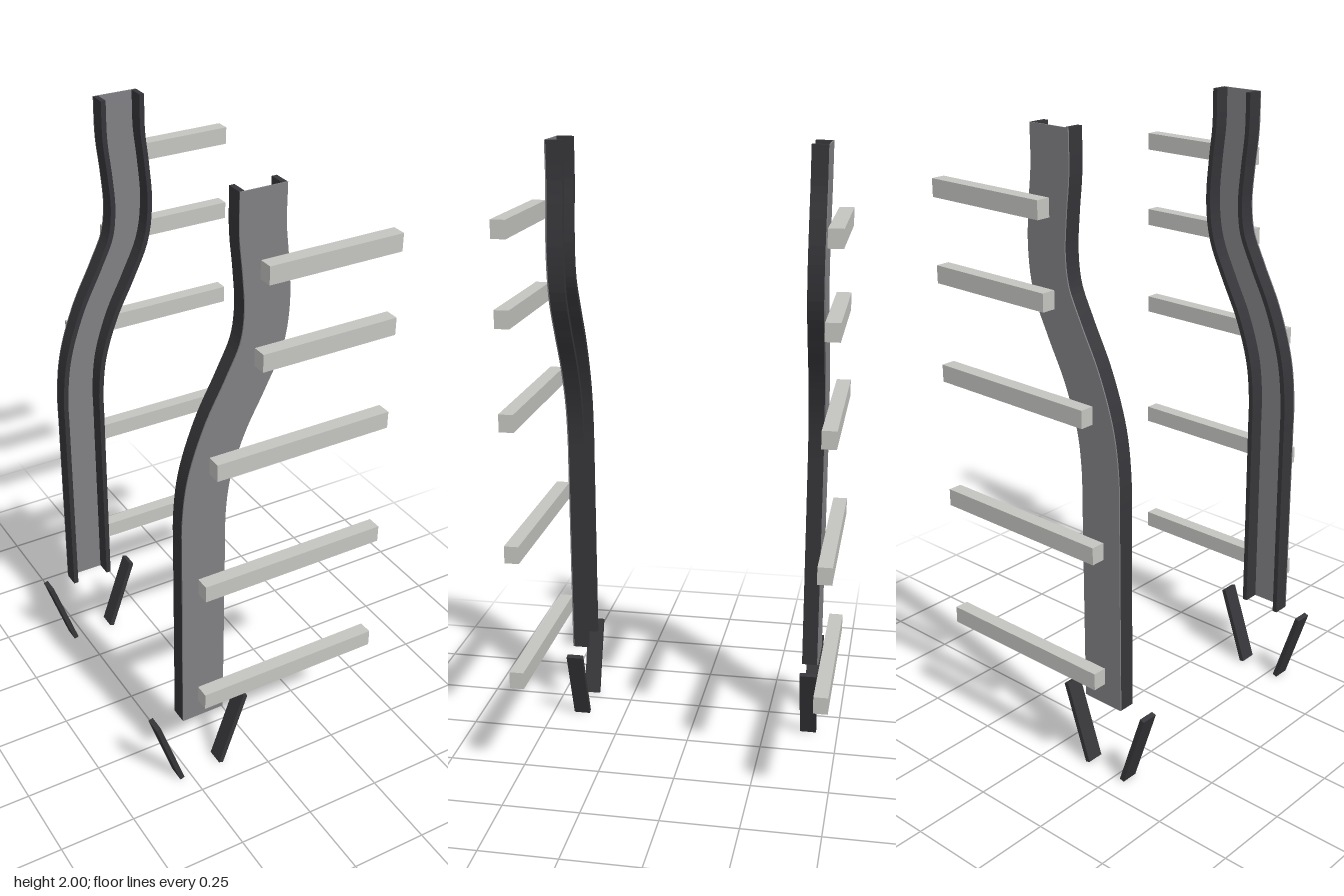
import * as THREE from 'three';

const paint = (name, color) => {
  const m = new THREE.MeshStandardMaterial({ color });
  m.name = name;
  return m;
};

// Centre line of the bent rail, in x and y
const CENTRE = [
  [-0.2075, 0.255], [-0.2075, 0.6], [-0.2075, 0.9], [-0.2065, 1.02], [-0.19, 1.15],
  [-0.14, 1.3], [-0.075, 1.43], [-0.026, 1.54], [-0.012, 1.65], [-0.02, 1.77],
  [-0.032, 1.88], [-0.033, 2],
];
const HALF = 0.0725;    // half the rail width
const FLANGE = 0.016;   // flange thickness
const WEB = 0.004;      // web plate thickness
const INNER = 0.3725;   // z range of the rail
const OUTER = 0.4275;

// Band running along the centre line between two sideways offsets
function bandGeometry(from, to, depth) {
  const curve = new THREE.CatmullRomCurve3(CENTRE.map(([x, y]) => new THREE.Vector3(x, y, 0)));
  const left = [], right = [], steps = 72;
  for (let i = 0; i <= steps; i++) {
    const p = curve.getPointAt(i / steps);
    const t = curve.getTangentAt(i / steps);
    // square cuts at both ends
    if (i === 0 || i === steps) t.set(0, 1, 0);
    left.push(new THREE.Vector2(p.x + t.y * from, p.y - t.x * from));
    right.push(new THREE.Vector2(p.x + t.y * to, p.y - t.x * to));
  }
  const shape = new THREE.Shape([...left, ...right.reverse()]);
  return new THREE.ExtrudeGeometry(shape, { depth, bevelEnabled: false });
}

export function createModel() {
  const model = new THREE.Group();
  model.name = 'bentRailFrame';
  const webGrey = paint('webGrey', 0x808084);
  const darkSteel = paint('darkSteel', 0x36363a);
  const paleGrey = paint('paleGrey', 0xc4c4c0);

  const add = (parent, name, geometry, material, x = 0, y = 0, z = 0) => {
    const mesh = new THREE.Mesh(geometry, material);
    mesh.name = name;
    mesh.position.set(x, y, z);
    parent.add(mesh);
    return mesh;
  };

  const web = bandGeometry(-HALF, HALF, WEB);
  const flangeDepth = OUTER - WEB - INNER;
  const flanges = [
    bandGeometry(-HALF, -HALF + FLANGE, flangeDepth),
    bandGeometry(HALF - FLANGE, HALF, flangeDepth),
  ];

  // Left end and height of each crossbar
  const bars = [[-0.24, 0.374], [-0.24, 0.796], [-0.205, 1.212], [-0.065, 1.523], [-0.053, 1.782]];
  // Top and bottom x of each splayed foot
  const feet = [[-0.367, -0.283], [-0.05, -0.138]];
  const barEnd = 0.377;

  for (const side of [1, -1]) {
    const half = new THREE.Group();
    half.name = side > 0 ? 'frontSide' : 'backSide';
    model.add(half);

    // Channel rail, its open side facing the other rail
    add(half, 'railWeb', web, webGrey, 0, 0, side > 0 ? OUTER - WEB : -OUTER);
    for (const f of flanges) {
      add(half, 'railFlange', f, darkSteel, 0, 0, side > 0 ? INNER : -OUTER + WEB);
    }

    // Crossbars outside the rail
    for (const [x, y] of bars) {
      const bar = new THREE.BoxGeometry(barEnd - x, 0.055, 0.045);
      add(half, 'crossbar', bar, paleGrey, (x + barEnd) / 2, y, side * 0.475);
    }

    // Splayed feet below the rail
    for (const [top, bottom] of feet) {
      const y0 = 0.004, y1 = 0.258;
      const length = Math.hypot(top - bottom, y1 - y0);
      const foot = add(half, 'foot', new THREE.BoxGeometry(FLANGE, length, OUTER - INNER),
        darkSteel, (top + bottom) / 2, (y0 + y1) / 2, side * (INNER + OUTER) / 2);
      foot.rotation.z = -Math.atan2(top - bottom, y1 - y0);
    }
  }
  return model;
}
